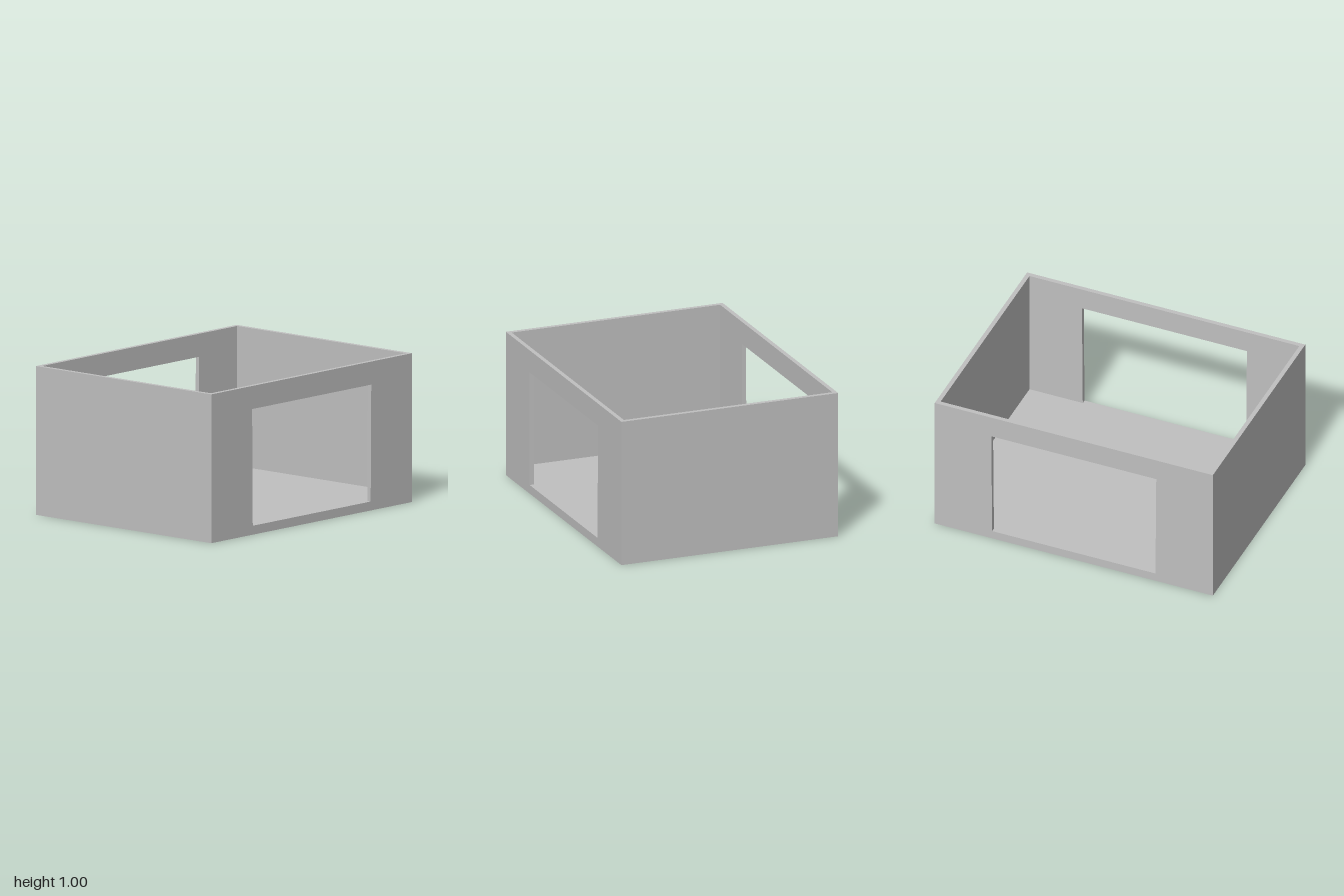
import * as THREE from 'three';

const W = 2, H = 1, D = 1.55;      // outer size
const WALL = 0.03, FLOOR = 0.06;   // thicknesses

export function createModel() {
  const model = new THREE.Group();
  model.name = 'openBox';
  const grey = new THREE.MeshStandardMaterial({ color: 0xc0c0c0 });
  grey.name = 'plain grey';

  const add = (name, geometry, x, y, z) => {
    const mesh = new THREE.Mesh(geometry, grey);
    mesh.name = name;
    mesh.position.set(x, y, z);
    model.add(mesh);
  };

  // Floor slab, flush with the sills of the openings
  add('floor', new THREE.BoxGeometry(W - 2 * WALL, FLOOR, D - 2 * WALL), 0, FLOOR / 2, 0);

  // Plain side walls
  for (const [name, s] of [['leftWall', 1], ['rightWall', -1]]) {
    add(name, new THREE.BoxGeometry(WALL, H, D - 2 * WALL), s * (W - WALL) / 2, H / 2, 0);
  }

  // Front and back walls, each with a large, very slightly tapered opening
  const outline = new THREE.Shape([[-1, 0], [1, 0], [1, H], [-1, H]]
    .map(([x, y]) => new THREE.Vector2(x, y)));
  outline.holes.push(new THREE.Path([[-0.587, FLOOR], [-0.593, 0.845], [0.593, 0.845], [0.587, FLOOR]]
    .map(([x, y]) => new THREE.Vector2(x, y))));
  const wall = new THREE.ExtrudeGeometry(outline, { depth: WALL, bevelEnabled: false });
  add('frontWall', wall, 0, 0, D / 2 - WALL);
  add('backWall', wall, 0, 0, -D / 2);

  return model;
}
